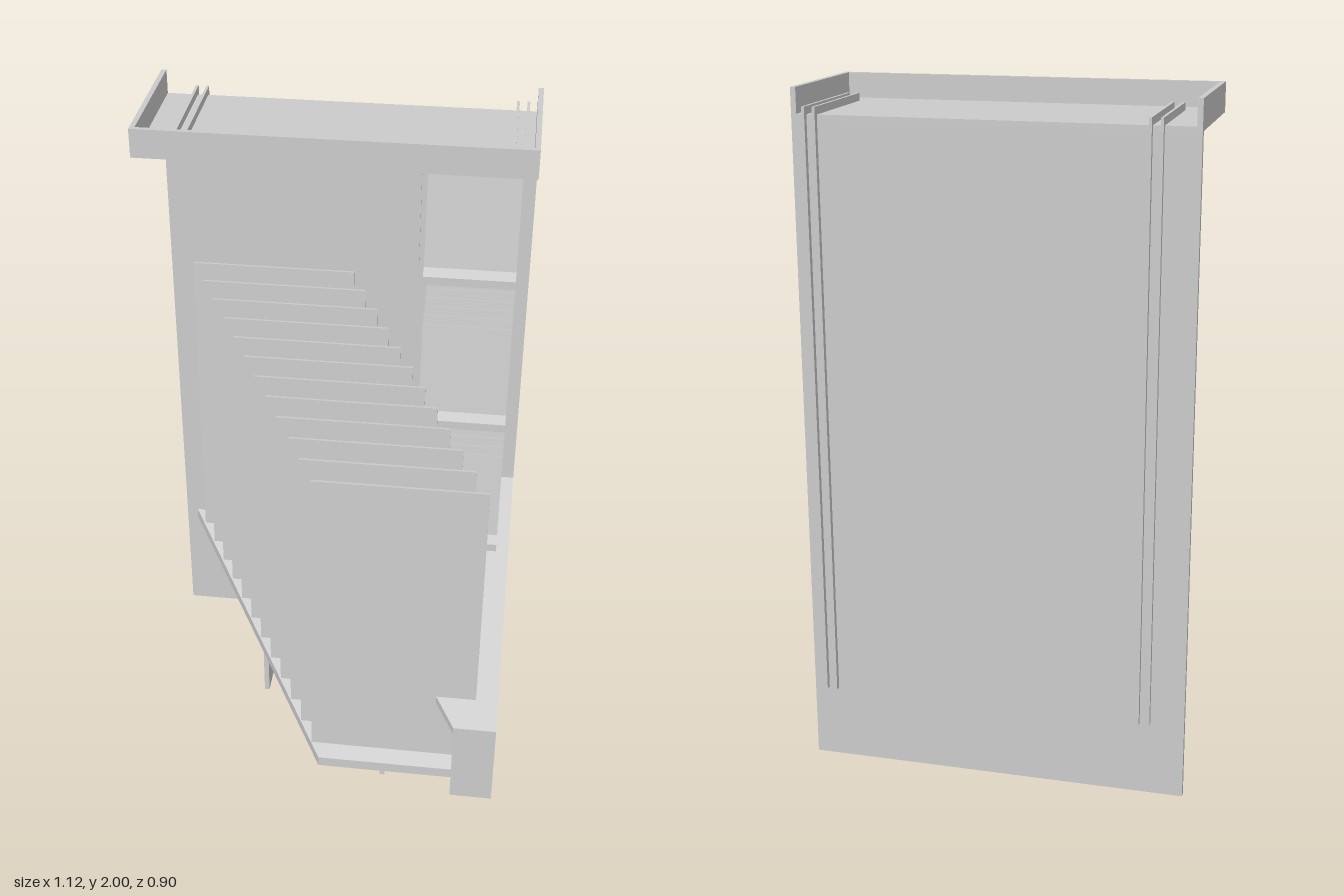
import * as THREE from 'three';

const SLOPE = 0.385; // rise of every shelf towards the back

export function createModel() {
  const root = new THREE.Group();
  const mat = new THREE.MeshStandardMaterial({ color: 0xcccccc, side: THREE.DoubleSide });

  function add(name, geo, parent = root) {
    const mesh = new THREE.Mesh(geo, mat);
    mesh.name = name;
    parent.add(mesh);
    return mesh;
  }

  // box given by its min and max on each axis
  function block(name, x0, x1, y0, y1, z0, z1, parent) {
    const geo = new THREE.BoxGeometry(x1 - x0, y1 - y0, z1 - z0);
    geo.translate((x0 + x1) / 2, (y0 + y1) / 2, (z0 + z1) / 2);
    return add(name, geo, parent);
  }

  // sloped shelf: plan outline of [x, z], top height at z = 0, thickness
  function slopedPlate(name, plan, top, thick, parent) {
    const shape = new THREE.Shape(plan.map(([x, z]) => new THREE.Vector2(x, -z)));
    const geo = new THREE.ExtrudeGeometry(shape, { depth: thick, bevelEnabled: false });
    geo.rotateX(-Math.PI / 2);
    const p = geo.attributes.position;
    for (let i = 0; i < p.count; i++) {
      p.setY(i, p.getY(i) + top - thick - SLOPE * p.getZ(i));
    }
    geo.computeVertexNormals();
    return add(name, geo, parent);
  }

  // upright panel in the y-z plane from [z, y] points
  function sidePanel(name, x0, thick, pts) {
    const shape = new THREE.Shape(pts.map(([z, y]) => new THREE.Vector2(-z, y)));
    const geo = new THREE.ExtrudeGeometry(shape, { depth: thick, bevelEnabled: false });
    geo.rotateY(Math.PI / 2);
    geo.translate(x0, 0, 0);
    return add(name, geo);
  }

  // thin sheet standing on its bottom edge and leaning back
  function sheet(name, x0, width, y, z, height, lean, thick, parent) {
    const geo = new THREE.BoxGeometry(width, height, thick);
    geo.translate(width / 2, height / 2, 0);
    const mesh = add(name, geo, parent);
    mesh.position.set(x0, y, z);
    mesh.rotation.x = -lean;
  }

  // back panel and poster
  block('backPanel', -0.56, 0.56, 0, 1.915, -0.43, -0.412);
  block('poster', -0.545, 0.22, 1.41, 1.89, -0.412, -0.406);

  // header tray, open at the back
  const header = new THREE.Group();
  header.name = 'header';
  root.add(header);
  block('headerFloor', -0.56, 0.56, 1.915, 1.928, -0.43, 0, header);
  block('headerFront', -0.56, 0.56, 1.915, 2, -0.014, 0, header);
  for (const s of [-1, 1]) {
    block('headerSide', s * 0.5525 - 0.0075, s * 0.5525 + 0.0075, 1.915, 2, -0.43, -0.014, header);
  }

  // bent rails running up the back and over the tray floor
  for (const [a, b] of [[-0.458, -0.427], [0.49, 0.52]]) {
    for (const x of [a, b]) {
      block('railUpright', x - 0.004, x + 0.004, 0.22, 1.95, -0.446, -0.43);
      block('railArm', x - 0.004, x + 0.004, 1.928, 1.95, -0.43, -0.09);
    }
  }

  // base: side wall, narrow front, upper and lower sloped shelves
  const upper = 0.473, lower = 0.238;
  sidePanel('baseSide', 0.545, 0.015,
    [[0.44, 0], [0.44, upper - 0.44 * SLOPE - 0.005], [-0.42, upper + 0.42 * SLOPE - 0.005], [-0.42, 0]]);
  block('baseFront', 0.43, 0.56, 0, 0.29, 0.425, 0.44);
  slopedPlate('upperShelf', [[0.43, 0.45], [0.56, 0.45], [0.56, -0.412], [-0.13, -0.412]], upper, 0.025);
  slopedPlate('lowerShelf', [[0.01, 0.41], [0.545, 0.41], [0.545, -0.412], [-0.525, -0.412]], lower, 0.034);

  // supports below the lower shelf
  const under = lower - 0.034;
  for (const [x, z] of [[-0.215, 0.04], [0.21, 0.38]]) {
    sidePanel('supportFin', x - 0.008, 0.016,
      [[z, 0], [z, under - SLOPE * z], [-0.42, under + 0.42 * SLOPE], [-0.42, 0]]);
  }

  // large staggered display sheets
  const sheets = new THREE.Group();
  sheets.name = 'largeSheets';
  root.add(sheets);
  for (let i = 0; i < 12; i++) {
    const z = 0.36 - i * 0.066;
    sheet('largeSheet', -0.018 - i * 0.0427, 0.51, lower - SLOPE * z - 0.022, z, 1.028, 0.026, 0.007, sheets);
  }

  // three small shelves with leaning samples
  for (const y of [1.525, 1.025, 0.558]) {
    const rack = new THREE.Group();
    rack.name = 'sampleRack';
    root.add(rack);
    slopedPlate('rackShelf', [[0.25, -0.135], [0.52, -0.135], [0.52, -0.412], [0.25, -0.412]],
      y - 0.135 * SLOPE, 0.026, rack);
    for (let i = 0; i < 6; i++) {
      sheet('sample', 0.25, 0.27, y + 0.012 + i * 0.0128, -0.173 - i * 0.0328, 0.286, 0.14, 0.007, rack);
    }
  }

  return root;
}
